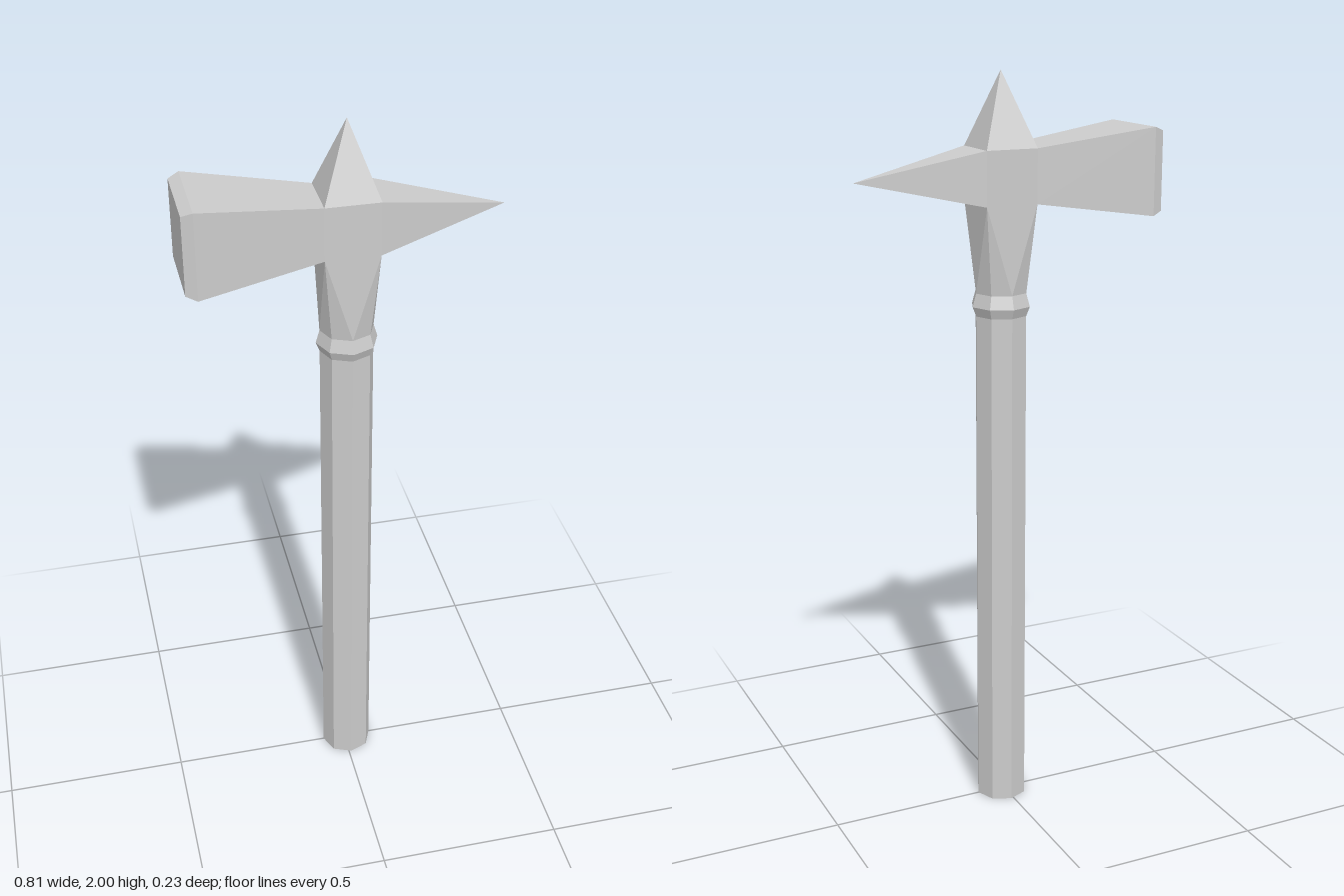
import * as THREE from 'three';

const R = 0.07;               // shaft radius and half width of the head socket
const HEAD_LOW = 1.67, HEAD_TOP = 1.81, HEAD_MID = 1.74, NECK_LOW = 1.44;

const material = new THREE.MeshStandardMaterial({ color: 0xcccccc, flatShading: true });

function part(name, geometry) {
  const mesh = new THREE.Mesh(geometry, material);
  mesh.name = name;
  return mesh;
}

// Faceted solid of revolution around y, from [radius, height] pairs
function turned(profile, sides) {
  return new THREE.LatheGeometry(profile.map(([r, y]) => new THREE.Vector2(r, y)), sides);
}

// Square section along y with its sides facing the axes, from [half width, height] pairs
function squareTaper(profile) {
  return turned(profile.map(([h, y]) => [h * Math.SQRT2, y]), 4).rotateY(Math.PI / 4);
}

// Neck blending the octagonal shaft into the square socket, with the socket's front and back
function socketGeometry() {
  const points = [];
  const at = (radius, angle, y) => new THREE.Vector3(radius * Math.sin(angle), y, radius * Math.cos(angle));
  const triangle = (...corners) => points.push(...corners);
  for (let k = 0; k < 4; k++) {
    const a = k * Math.PI / 2, l = a - Math.PI / 4, r = a + Math.PI / 4, c = R * Math.SQRT2;
    const mid = at(R, a, NECK_LOW), lowL = at(R, l, NECK_LOW), lowR = at(R, r, NECK_LOW);
    const cornerL = at(c, l, HEAD_LOW), cornerR = at(c, r, HEAD_LOW);
    triangle(mid, cornerR, cornerL);
    triangle(mid, lowR, cornerR);
    triangle(lowL, mid, cornerL);
    if (k % 2 === 0) {
      const topL = at(c, l, HEAD_TOP), topR = at(c, r, HEAD_TOP);
      triangle(cornerL, cornerR, topR);
      triangle(cornerL, topR, topL);
    }
  }
  const geometry = new THREE.BufferGeometry().setFromPoints(points);
  geometry.computeVertexNormals();
  return geometry;
}

export function createModel() {
  const model = new THREE.Group();
  model.name = 'warHammer';

  // Octagonal shaft and the ring around its top
  model.add(part('shaft', turned([[0, 0], [R, 0], [R, 1.38]], 8)));
  model.add(part('ring', turned([[R, 1.38], [0.08, 1.405], [R, NECK_LOW]], 8)));

  model.add(part('socket', socketGeometry()));

  // Pointed top and side spikes
  model.add(part('topSpike', squareTaper([[R, HEAD_TOP], [0, 2]])));
  const sideSpike = part('sideSpike', squareTaper([[R, R], [0, 0.397]]).rotateZ(-Math.PI / 2));
  sideSpike.position.y = HEAD_MID;
  model.add(sideSpike);

  // Flaring hammer with a bevelled flat face
  const hammer = part('hammerHead',
    squareTaper([[R, R], [0.114, 0.384], [0.103, 0.412], [0, 0.412]]).rotateZ(Math.PI / 2));
  hammer.position.y = HEAD_MID;
  model.add(hammer);

  // The shaft sits slightly off centre so the whole is centred
  for (const child of model.children) child.position.x = 0.007;
  return model;
}
